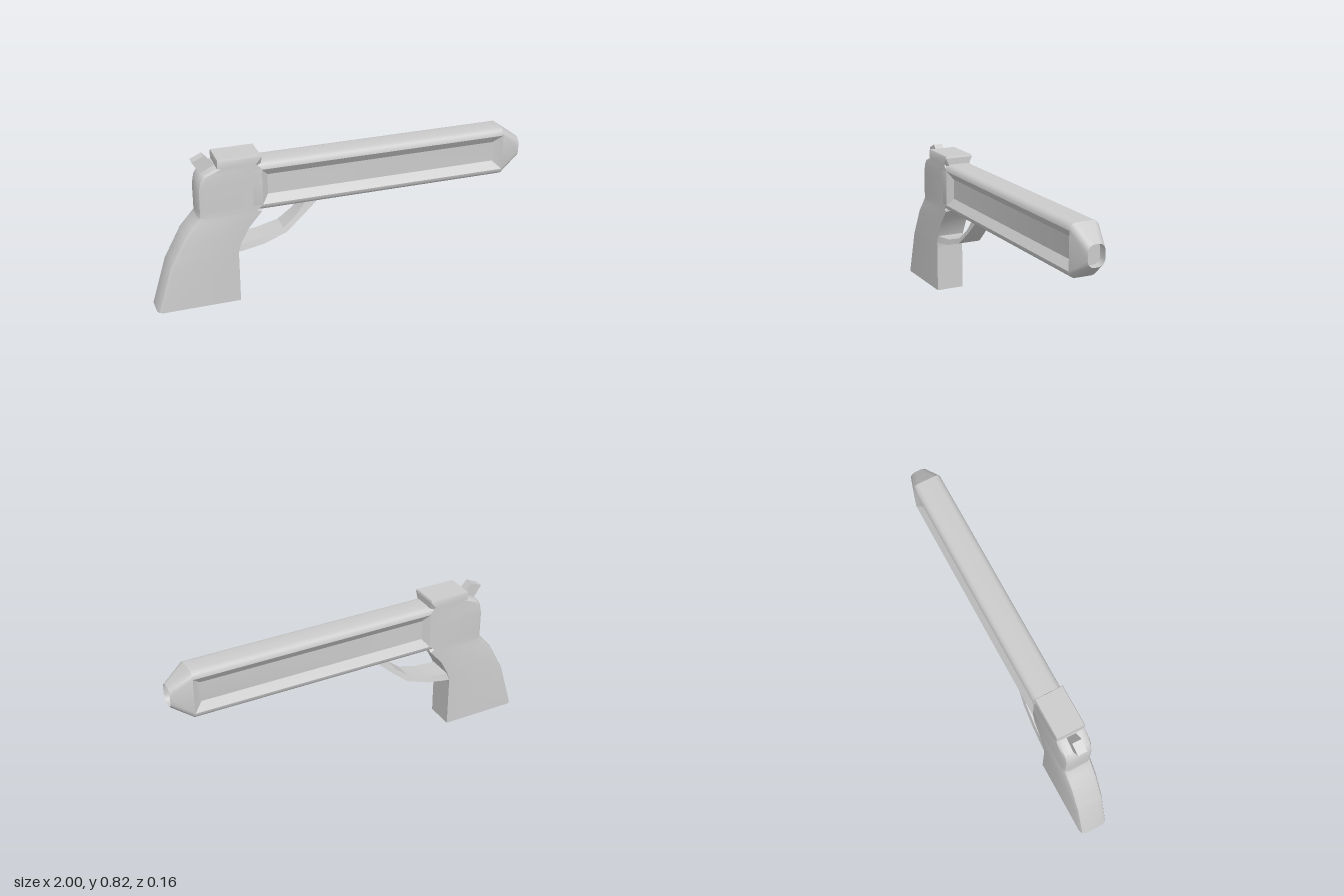
import * as THREE from 'three';
import { toCreasedNormals } from 'three/addons/utils/BufferGeometryUtils.js';
import { ConvexGeometry } from 'three/addons/geometries/ConvexGeometry.js';

const grey = new THREE.MeshStandardMaterial({ color: 0xcccccc });
const W = 0.078; // half thickness of the body

// Skins a list of closed rings (right-handed about the travel direction) and caps both ends.
function loft(rings, crease = 0.6) {
  const out = [];
  const n = rings[0].length;
  const tri = (a, b, c) => out.push(...a, ...b, ...c);
  const centre = (r) => [0, 1, 2].map((k) => r.reduce((s, p) => s + p[k], 0) / n);
  const first = rings[0], last = rings[rings.length - 1];
  const c0 = centre(first), c1 = centre(last);
  for (let j = 0; j < n; j++) {
    const k = (j + 1) % n;
    for (let i = 0; i < rings.length - 1; i++) {
      const r = rings[i], s = rings[i + 1];
      tri(r[j], r[k], s[k]);
      tri(r[j], s[k], s[j]);
    }
    tri(c0, first[k], first[j]);
    tri(c1, last[j], last[k]);
  }
  const geo = new THREE.BufferGeometry();
  geo.setAttribute('position', new THREE.Float32BufferAttribute(out, 3));
  return toCreasedNormals(geo, crease);
}

// Rounded barrel section with a panel of depth d sunk into each side.
function barrelRing(x, top, bottom, w, r, d) {
  const half = [];
  const inset = d * 1.4;
  for (let i = 0; i <= 4; i++) {
    const a = (i / 4) * Math.PI / 2;
    half.push([top - r + r * Math.cos(a), w - r + r * Math.sin(a)]);
  }
  half.push([top - r - inset, w - d], [bottom + r + inset, w - d]);
  for (let i = 0; i <= 4; i++) {
    const a = (i / 4) * Math.PI / 2;
    half.push([bottom + r - r * Math.sin(a), w - r + r * Math.cos(a)]);
  }
  const mirrored = half.slice().reverse().map(([y, z]) => [y, -z]);
  return [...half, ...mirrored].map(([y, z]) => [x, y, z]);
}

// Horizontal slice of the frame, its two rear edges rounded by r.
function frameRing([y, back, front, r = 0.03, w = W]) {
  const q = 0.3 * r;
  return [
    [back + r, w], [front, w], [front, -w], [back + r, -w],
    [back + q, -w + q], [back, -w + r], [back, w - r], [back + q, w - q],
  ].map(([x, z]) => [x, y, z]);
}

export function createModel() {
  const group = new THREE.Group();
  const add = (name, geo) => {
    const mesh = new THREE.Mesh(geo, grey);
    mesh.name = name;
    group.add(mesh);
  };

  // Grip and frame: height, back x, front x, rear rounding, half width
  add('gripAndFrame', loft([
    [0, -1, -0.565],
    [0.25, -0.925, -0.565],
    [0.285, -0.906, -0.565],
    [0.33, -0.882, -0.552],
    [0.41, -0.84, -0.51],
    [0.46, -0.795, -0.468],
    [0.495, -0.765, -0.437],
    [0.505, -0.76, -0.46],
    [0.535, -0.76, -0.43],
    [0.65, -0.76, -0.43],
    [0.7, -0.75, -0.43],
    [0.73, -0.73, -0.43],
    [0.76, -0.665, -0.46],
    [0.76, -0.655, -0.46, 0],
    [0.795, -0.655, -0.43, 0],
    [0.805, -0.653, -0.434, 0, 0.074],
  ].map(frameRing)));

  // Fillers leaving only the corners of the frame notched around the barrel
  const filler = (name, corners) => add(name, new ConvexGeometry(
    corners.flatMap(([x, y, z]) => [new THREE.Vector3(x, y, z), new THREE.Vector3(x, y, -z)])));
  filler('upperNotch', [[-0.43, 0.795, W], [-0.46, 0.76, W], [-0.43, 0.73, W - 0.03], [-0.43, 0.76, 0.045]]);
  filler('lowerNotch', [[-0.437, 0.495, W], [-0.46, 0.505, W], [-0.43, 0.5, 0.045], [-0.43, 0.535, 0.045]]);

  // Barrel with sunken side panels, tapered muzzle and a shallow bore
  const body = (x, d) => barrelRing(x, 0.76, 0.498, W, 0.035, d);
  const muzzle = (x) => barrelRing(x, 0.682, 0.572, 0.046, 0.036, 0);
  add('barrel', loft([
    body(-0.48, 0), body(-0.43, 0), body(-0.395, 0.03), body(0.845, 0.03), body(0.89, 0),
    muzzle(1), muzzle(0.955),
  ]));

  // Trigger guard: outer x, y, inner x, y, half width
  add('triggerGuard', loft([
    [-0.575, 0.285, -0.575, 0.325, 0.078],
    [-0.53, 0.29, -0.54, 0.325, 0.077],
    [-0.43, 0.306, -0.435, 0.335, 0.072],
    [-0.31, 0.345, -0.32, 0.37, 0.063],
    [-0.22, 0.418, -0.245, 0.432, 0.053],
    [-0.13, 0.502, -0.19, 0.502, 0.047],
  ].map(([ox, oy, ix, iy, w]) => [
    [ix, iy, w - 0.008], [ox, oy, w], [ox, oy, -w], [ix, iy, -w + 0.008],
  ]), 0.3));

  // Hammer
  const outline = [[-0.77, 0.79], [-0.73, 0.73], [-0.68, 0.72], [-0.655, 0.755], [-0.71, 0.817]];
  const hammer = new THREE.ExtrudeGeometry(
    new THREE.Shape(outline.map(([x, y]) => new THREE.Vector2(x, y))),
    { depth: 0.05, bevelEnabled: false });
  hammer.translate(0, 0, -0.025);
  add('hammer', hammer);

  return group;
}
